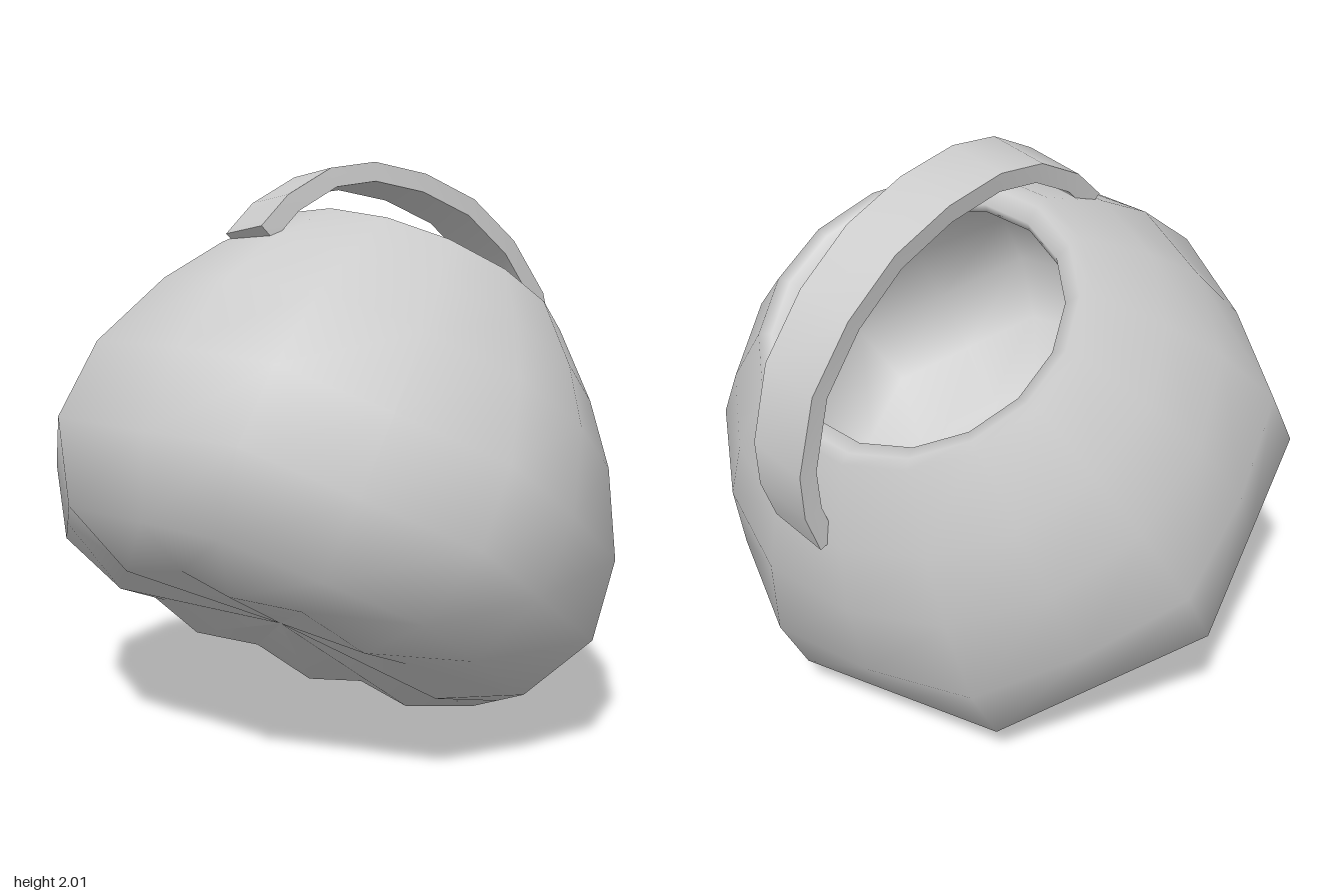
import * as THREE from 'three';
import { toCreasedNormals } from 'three/addons/utils/BufferGeometryUtils.js';

const material = new THREE.MeshStandardMaterial({ color: 0xcccccc, roughness: 0.9 });

// Rows of equal length joined into a surface; rows may wrap around.
function skin(rows, wrap) {
  const n = rows[0].length, positions = [], index = [];
  for (const row of rows) for (const p of row) positions.push(p.x, p.y, p.z);
  for (let i = 0; i < rows.length - 1; i++) {
    for (let j = 0; j < (wrap ? n : n - 1); j++) {
      const k = (j + 1) % n;
      const a = i * n + j, b = i * n + k, c = (i + 1) * n + k, d = (i + 1) * n + j;
      index.push(a, b, c, a, c, d);
    }
  }
  const g = new THREE.BufferGeometry();
  g.setAttribute('position', new THREE.Float32BufferAttribute(positions, 3));
  g.setIndex(index);
  g.computeVertexNormals();
  return g;
}

// Pot shell: an octagonal base that turns round toward the rim, then the inside.
function createBody() {
  // height, corner radius, octagon amount, lift of the edge midpoints
  const profile = [
    [0.17, 0.001, 0, 0], [0.1, 0.61, 1, 0.045], [0.21, 0.887, 1, 0],
    [0.46, 1.045, 1, 0], [0.75, 1.03, 0.6, 0], [1.06, 0.905, 0.15, 0],
    [1.28, 0.765, 0, 0], [1.51, 0.575, 0, 0],
    [1.505, 0.53, 0, 0], [1.475, 0.475, 0, 0], [1.44, 0.47, 0, 0],
    [1.24, 0.69, 0, 0], [1.03, 0.83, 0.15, 0], [0.75, 0.94, 0.6, 0],
    [0.48, 0.94, 1, 0], [0.28, 0.78, 1, 0], [0.22, 0.5, 1, 0], [0.22, 0.001, 0, 0],
  ];
  const sides = 16, flat = 1 - Math.cos(Math.PI / 8);
  const rows = profile.map(([h, r, oct, lift]) => {
    const row = [];
    for (let j = 0; j < sides; j++) {
      const a = (j / sides) * Math.PI * 2, mid = j % 2 === 0;
      const rr = mid ? r * (1 - flat * oct) : r;
      row.push(new THREE.Vector3(Math.sin(a) * rr, h - 0.75 + (mid ? lift : 0), Math.cos(a) * rr));
    }
    return row;
  });
  const body = new THREE.Mesh(skin(rows, true), material);
  body.name = 'potBody';
  body.position.set(0, 0.896, 0.013);
  body.rotation.set(-0.565, -0.05, -0.06, 'XZY');
  return body;
}

// Flat band arching diagonally over the opening.
function createHandle() {
  const path = [
    [0.31, 1.75], [0.21, 1.85], [0.05, 1.935], [-0.12, 1.955], [-0.33, 1.915], [-0.54, 1.825],
    [-0.72, 1.675], [-0.86, 1.48], [-0.92, 1.23], [-0.91, 1.08], [-0.86, 0.94],
  ].map(([z, y]) => new THREE.Vector3(-0.17 + (0.32 - z) * 0.341, y, z));
  const across = new THREE.Vector3(0.947, 0.147, 0.32).normalize();
  const halfWidth = 0.113, halfThick = 0.034;
  const rows = path.map((p, i) => {
    const tangent = path[Math.min(i + 1, path.length - 1)].clone().sub(path[Math.max(i - 1, 0)]);
    const out = across.clone().cross(tangent).normalize();
    if (out.y < 0 && i < 5) out.negate();
    return [[-1, 1], [1, 1], [1, -1], [-1, -1]].map(([s, t]) =>
      p.clone().addScaledVector(across, s * halfWidth).addScaledVector(out, t * halfThick));
  });
  // Collapsed end sections close the band
  const cap = (row) => {
    const c = row.reduce((s, p) => s.add(p), new THREE.Vector3()).multiplyScalar(0.25);
    return row.map(() => c);
  };
  rows.unshift(cap(rows[0]));
  rows.push(cap(rows[rows.length - 1]));
  const handle = new THREE.Mesh(toCreasedNormals(skin(rows, true), 0.7), material);
  handle.name = 'handle';
  return handle;
}

export function createModel() {
  const model = new THREE.Group();
  model.name = 'tiltedPot';
  model.add(createBody(), createHandle());
  return model;
}
